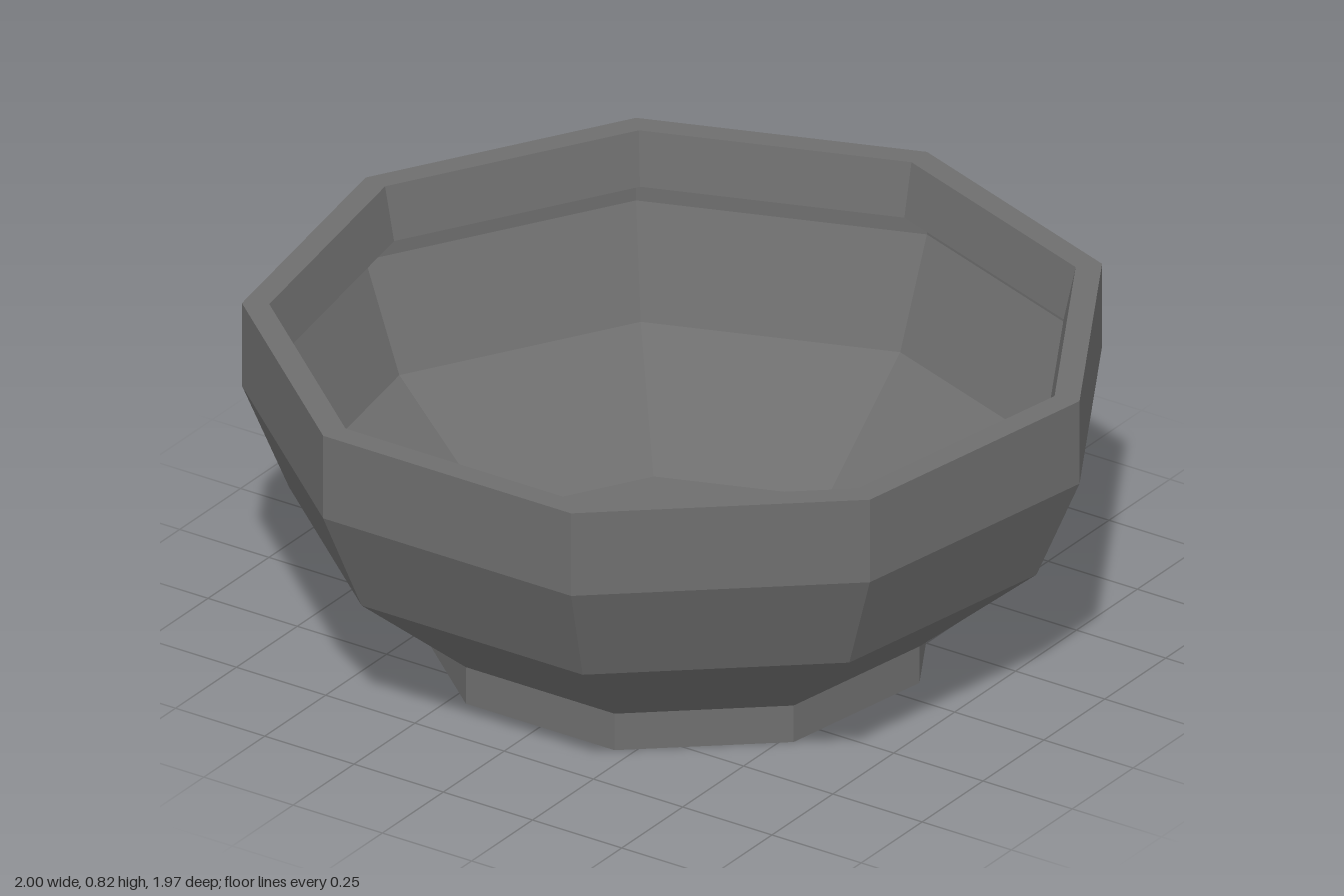
import * as THREE from 'three';

const SIDES = 9;
const CENTRE_Z = 0.03; // centres the nine-sided outline, one corner to the back

export function createModel() {
  const group = new THREE.Group();
  group.name = 'bowl';
  const grey = new THREE.MeshStandardMaterial({ color: 0x6e6e6e, flatShading: true, side: THREE.DoubleSide });
  grey.name = 'dark grey';

  // Faceted ring surface from a profile of [radius, height] points
  const addPart = (name, profile) => {
    const points = profile.map(([r, y]) => new THREE.Vector2(r, y));
    const geometry = new THREE.LatheGeometry(points, SIDES, Math.PI).toNonIndexed();
    geometry.computeVertexNormals();
    const mesh = new THREE.Mesh(geometry, grey);
    mesh.name = name;
    mesh.position.z = CENTRE_Z;
    group.add(mesh);
  };

  // Closed foot, its top forming the bowl floor
  addPart('foot', [[0, 0], [0.609, 0], [0.609, 0.095], [0, 0.095]]);
  // Thin wall, flaring up to a vertical band
  addPart('wall', [[0.609, 0.095], [0.906, 0.345], [1.0154, 0.605], [1.0154, 0.82]]);
  // Flat rim with a lip hanging inside the band
  addPart('rim', [[1.0154, 0.82], [0.952, 0.82], [0.923, 0.688]]);

  return group;
}
